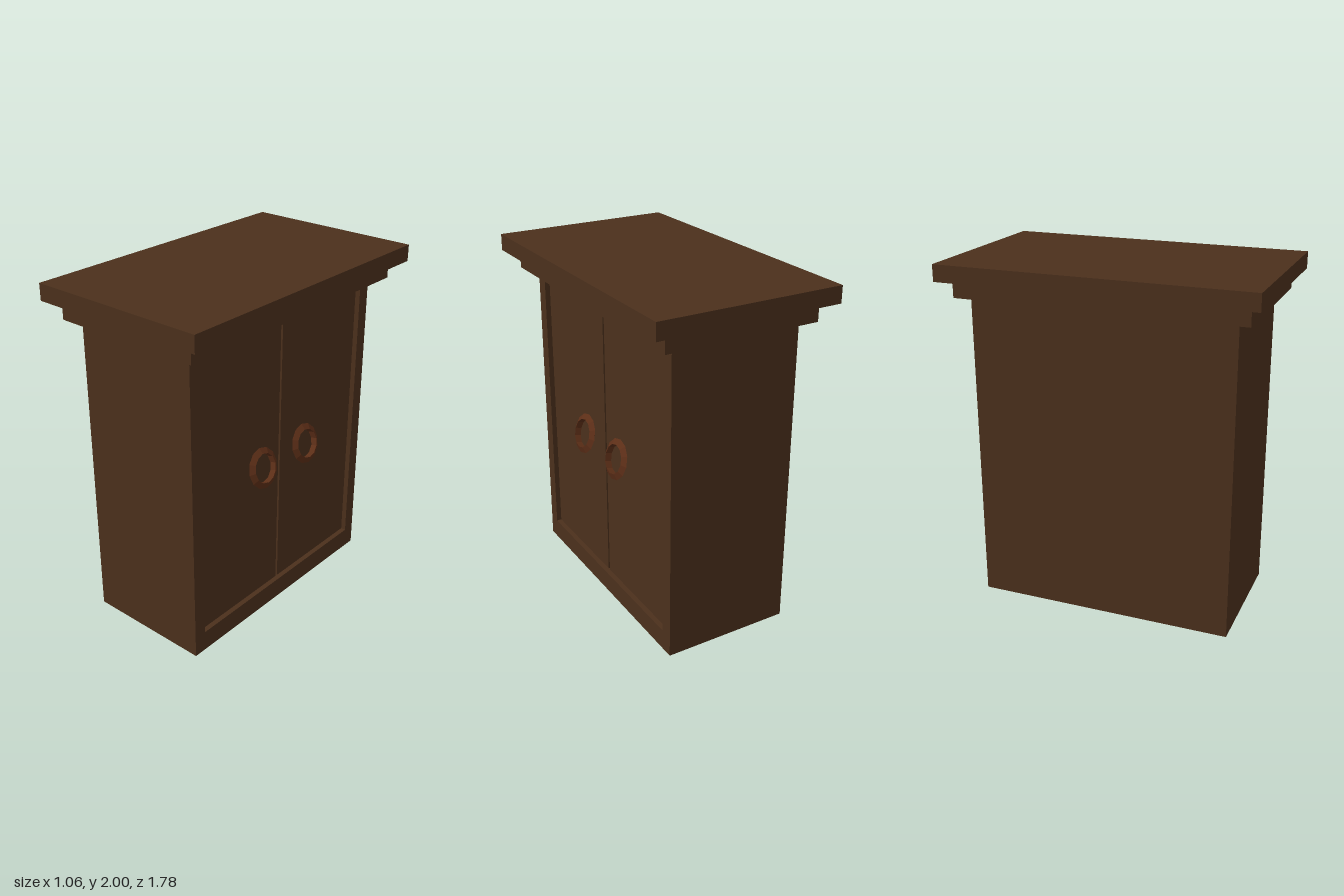
import * as THREE from 'three';

const wood = new THREE.MeshStandardMaterial({ color: 0x4b301c });
const copper = new THREE.MeshStandardMaterial({ color: 0x5c2e17 });
copper.flatShading = true;

// Box given by its lower and upper corners
function block(name, [x0, y0, z0], [x1, y1, z1]) {
  const mesh = new THREE.Mesh(new THREE.BoxGeometry(x1 - x0, y1 - y0, z1 - z0), wood);
  mesh.position.set((x0 + x1) / 2, (y0 + y1) / 2, (z0 + z1) / 2);
  mesh.name = name;
  return mesh;
}

export function createModel() {
  const cabinet = new THREE.Group();
  cabinet.name = 'cabinet';

  const back = -0.385, core = 0.305, doorFace = 0.335, face = 0.365;
  const halfWidth = 0.75, opening = 0.675, railTop = 0.12, bodyTop = 1.805;

  // Carcass: solid core, side panels and bottom rail framing the recessed doors
  cabinet.add(block('carcass', [back, railTop, -opening], [core, bodyTop, opening]));
  cabinet.add(block('bottomRail', [back, 0, -opening], [face, railTop, opening]));

  for (const side of [1, -1]) {
    const prefix = side > 0 ? 'left' : 'right';
    const span = (a, b) => [Math.min(a * side, b * side), Math.max(a * side, b * side)];

    const [p0, p1] = span(opening, halfWidth);
    cabinet.add(block(prefix + 'SidePanel', [back, 0, p0], [face, bodyTop, p1]));

    // Doors meet at a narrow central gap
    const [d0, d1] = span(side > 0 ? 0.011 : 0.004, opening);
    cabinet.add(block(prefix + 'Door', [core, railTop, d0], [doorFace, bodyTop, d1]));

    // Ring pull with a triangular section, its lower edge leaning outward
    const ring = new THREE.Mesh(new THREE.TorusGeometry(0.095, 0.022, 3, 12), copper);
    ring.rotation.set(0, Math.PI / 2, 0);
    ring.rotateX(-0.27);
    ring.position.set(0.374, 0.963, side * 0.189 + 0.003);
    ring.name = prefix + 'RingPull';
    cabinet.add(ring);
  }

  // Stepped cornice
  cabinet.add(block('lowerCornice', [-0.447, bodyTop, -0.823], [0.447, 1.905, 0.823]));
  cabinet.add(block('upperCornice', [-0.532, 1.905, -0.888], [0.532, 2, 0.888]));

  return cabinet;
}
